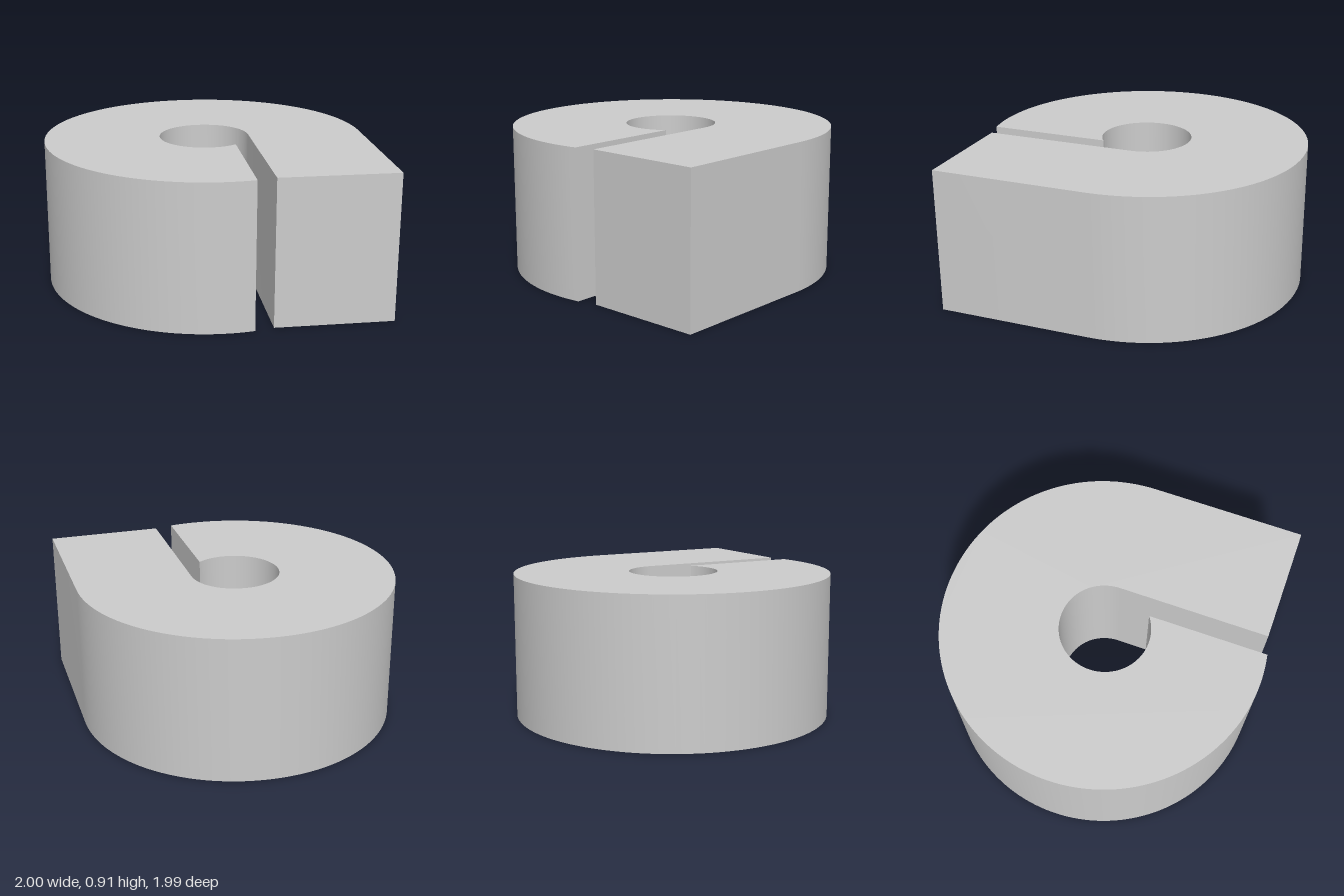
import * as THREE from 'three';
import { toCreasedNormals } from 'three/addons/utils/BufferGeometryUtils.js';

const HEIGHT = 0.907;
const SLOT_LEFT = 0.165;   // slot side against the curl
const LEG_INNER = 0.28;    // slot side against the straight leg
const LEG_END = 0.955;     // front end of the leg
const OUTER = 0.997;
const HOLE = 0.28;

export function createModel() {
  const group = new THREE.Group();
  group.name = 'slottedRing';

  // Plan outline (shape y points to the back): a ring cut by a slot, one end running out as a leg
  const outerEnd = -Math.acos(SLOT_LEFT / OUTER);
  const holeEnd = -Math.acos(SLOT_LEFT / HOLE);
  const outline = new THREE.Shape();
  outline.moveTo(LEG_INNER, -LEG_END);
  outline.lineTo(1, -LEG_END);
  outline.lineTo(1, 0);
  // outer wall, right back quarter then the rest of the circle
  outline.bezierCurveTo(1, 0.56, 0.56, OUTER, 0, OUTER);
  outline.absarc(0, 0, OUTER, Math.PI / 2, outerEnd + Math.PI * 2, false);
  // slot and centre hole
  outline.lineTo(SLOT_LEFT, HOLE * Math.sin(holeEnd) - 0.008);
  outline.absarc(0, -0.008, HOLE, holeEnd + Math.PI * 2, Math.PI / 2, true);
  outline.bezierCurveTo(0.16, HOLE - 0.008, LEG_INNER, 0.15, LEG_INNER, -0.01);
  outline.closePath();

  const solid = new THREE.ExtrudeGeometry(outline, {
    depth: HEIGHT, bevelEnabled: false, curveSegments: 40,
  });
  solid.rotateX(-Math.PI / 2);

  const body = new THREE.Mesh(
    toCreasedNormals(solid, Math.PI / 6),
    new THREE.MeshStandardMaterial({ color: 0xcccccc }),
  );
  body.name = 'curledBody';
  group.add(body);
  return group;
}
